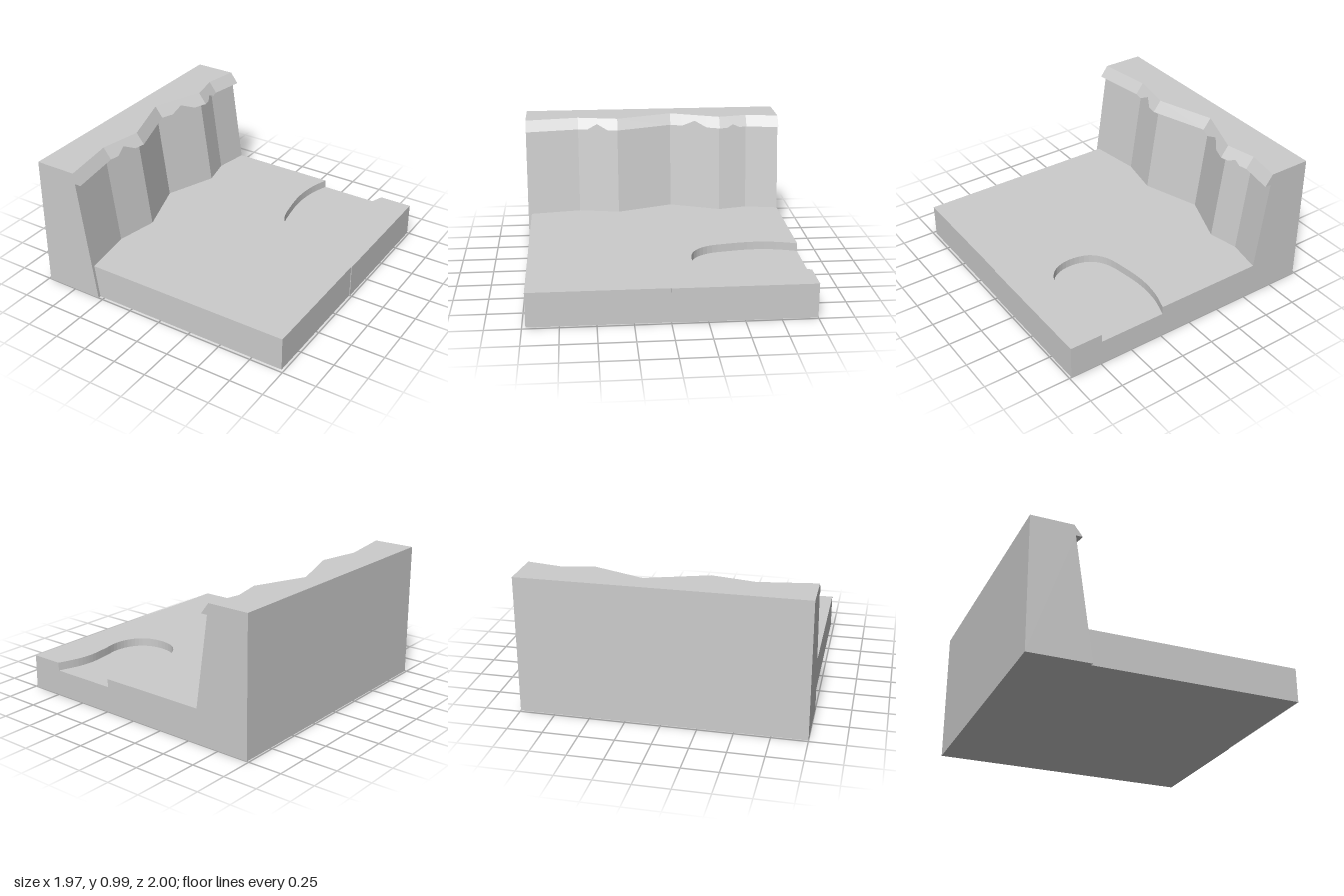
import * as THREE from 'three';

const TOP = 0.99, FLOOR = 0.25, WATER = 0.19, BACK_X = -0.985;
// cliff rim: [z, x at the top]
const RIM = [[-1, -0.675], [-0.75, -0.72], [-0.53, -0.672], [-0.15, -0.82], [0.28, -0.675], [0.59, -0.735], [1, -0.675]];
// notches in the overhang: [start z, peak z, end z, peak height]
const NOTCHES = [[-0.69, -0.64, -0.59, 0.932], [-0.43, -0.34, -0.24, 0.95], [0.36, 0.44, 0.52, 0.95]];

const lerp = THREE.MathUtils.lerp;

function rimX(z) {
  let i = 0;
  while (i < RIM.length - 2 && z > RIM[i + 1][0]) i++;
  const [z0, x0] = RIM[i], [z1, x1] = RIM[i + 1];
  return lerp(x0, x1, (z - z0) / (z1 - z0));
}

function lipY(z) {
  for (const [a, p, b, h] of NOTCHES) {
    if (z > a && z < b) return lerp(0.91, h, z < p ? (z - a) / (p - a) : (b - z) / (b - p));
  }
  return 0.91;
}

const wallOffset = y => 0.14 * (TOP - y) / TOP;

// cliff cross-section at z, counter-clockwise seen from the front
function section(z) {
  const x = rimX(z), y = lipY(z);
  return [
    [BACK_X, 0], [x + wallOffset(0), 0], [x + wallOffset(y), y],
    [x + 0.06 * (TOP - y) / 0.08, y], [x, TOP], [BACK_X, TOP],
  ].map(([px, py]) => [px, py, z]);
}

function cliffGeometry() {
  const zs = [...new Set([...RIM.map(r => r[0]), ...NOTCHES.flatMap(n => n.slice(0, 3))])].sort((a, b) => a - b);
  const rings = zs.map(section), pos = [];
  const tri = (...corners) => corners.forEach(c => pos.push(...c));
  for (let k = 0; k < rings.length - 1; k++) {
    const a = rings[k], b = rings[k + 1];
    for (let i = 0; i < 6; i++) {
      const j = (i + 1) % 6;
      tri(a[i], a[j], b[j]);
      tri(a[i], b[j], b[i]);
    }
  }
  // end caps, fanned from the inner corner under the overhang
  const first = rings[0], last = rings[rings.length - 1];
  for (let i = 3; i < 7; i++) {
    tri(last[2], last[i % 6], last[(i + 1) % 6]);
    tri(first[2], first[(i + 1) % 6], first[i % 6]);
  }
  const g = new THREE.BufferGeometry();
  g.setAttribute('position', new THREE.Float32BufferAttribute(pos, 3));
  g.computeVertexNormals();
  return g;
}

// flat plate from an outline in x and z
function plate(points, bottom, top) {
  const g = new THREE.ExtrudeGeometry(new THREE.Shape(points), { depth: top - bottom, bevelEnabled: false });
  return g.rotateX(Math.PI / 2).translate(0, top, 0);
}

export function createModel() {
  const group = new THREE.Group();
  const material = new THREE.MeshStandardMaterial({ color: 0xcccccc, flatShading: true });
  const add = (name, geometry) => {
    const mesh = new THREE.Mesh(geometry, material);
    mesh.name = name;
    group.add(mesh);
  };
  const v = (x, z) => new THREE.Vector2(x, z);

  add('cliff', cliffGeometry());

  // ground outline: along the cliff foot, the front and the right side
  const outline = RIM.slice(0, -1).map(([z, x]) => v(x + wallOffset(FLOOR), z));
  outline.push(v(rimX(0.975) + wallOffset(FLOOR), 0.975), v(0.98, 0.975), v(0.98, 0), v(0.985, 0), v(0.985, -1));

  // pond bank, open at the back edge
  const bank = new THREE.SplineCurve([
    v(0.24, -1), v(0.195, -0.85), v(0.18, -0.68), v(0.2, -0.5), v(0.24, -0.33), v(0.33, -0.225), v(0.47, -0.19),
    v(0.6, -0.22), v(0.68, -0.305), v(0.71, -0.43), v(0.69, -0.58), v(0.675, -0.72), v(0.69, -0.85), v(0.74, -1),
  ]).getPoints(52).reverse();

  add('groundBase', plate(outline, 0, WATER));
  add('groundTop', plate([...outline, ...bank], WATER, FLOOR));
  return group;
}
